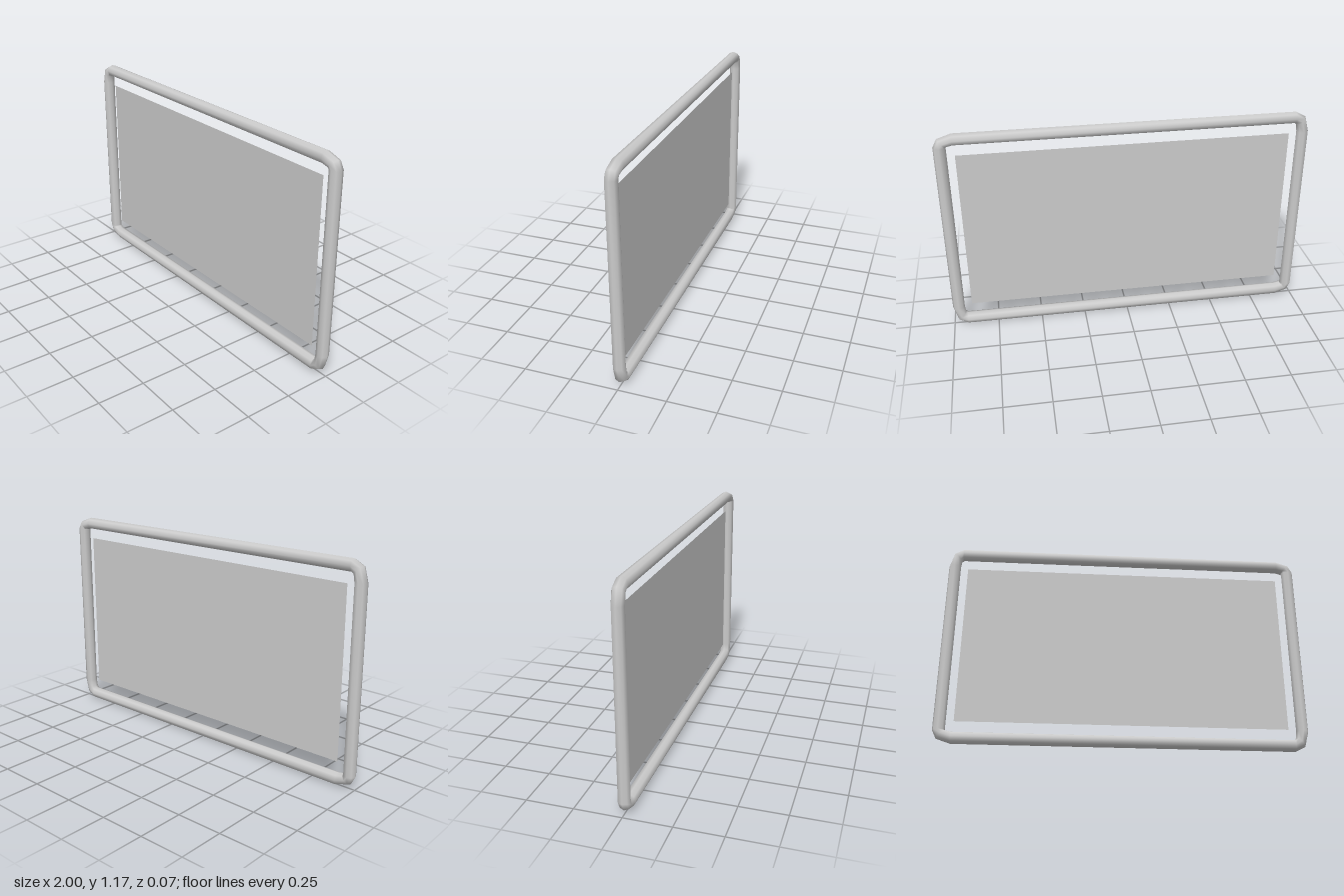
import * as THREE from 'three';
import { mergeVertices } from 'three/addons/utils/BufferGeometryUtils.js';

const MID_Y = 0.584, R = 0.033, SIDES = 8;

// Two neighbouring corners of the frame: x, y (from the centre), outward angle in degrees
const HALF_PATH = [
  [-0.967, 0.47, 180], [-0.953, 0.531, 135], [-0.92, 0.551, 90],
  [0.9, 0.551, 90], [0.953, 0.535, 45], [0.967, 0.512, 0],
];

// Closed octagonal tube; the other two corners are the first two turned by 180 degrees
function frameGeometry() {
  const path = [...HALF_PATH, ...HALF_PATH.map(([x, y, a]) => [-x, -y, a + 180])];
  const positions = [], index = [];
  for (const [x, y, deg] of path) {
    const t = THREE.MathUtils.degToRad(deg);
    for (let j = 0; j < SIDES; j++) {
      const a = (j / SIDES) * Math.PI * 2;
      positions.push(
        x + R * Math.cos(a) * Math.cos(t),
        y + R * Math.cos(a) * Math.sin(t),
        R * Math.sin(a));
    }
  }
  const n = path.length;
  for (let i = 0; i < n; i++) {
    for (let j = 0; j < SIDES; j++) {
      const i2 = (i + 1) % n, j2 = (j + 1) % SIDES;
      const a = i * SIDES + j, b = i * SIDES + j2, c = i2 * SIDES + j2, d = i2 * SIDES + j;
      index.push(a, b, d, b, c, d);
    }
  }
  const geometry = new THREE.BufferGeometry();
  geometry.setAttribute('position', new THREE.Float32BufferAttribute(positions, 3));
  geometry.setIndex(index);
  const merged = mergeVertices(geometry);
  merged.computeVertexNormals();
  return merged;
}

export function createModel() {
  const group = new THREE.Group();
  group.name = 'framedPanel';

  // Rounded tubular border
  const frame = new THREE.Mesh(frameGeometry(), new THREE.MeshStandardMaterial({ color: 0xcccccc }));
  frame.name = 'frame';
  frame.position.y = MID_Y;

  // Thin flat sheet floating inside the border
  const panel = new THREE.Mesh(
    new THREE.PlaneGeometry(1.786, 0.92),
    new THREE.MeshStandardMaterial({ color: 0xcccccc, side: THREE.DoubleSide }));
  panel.name = 'panel';
  panel.position.y = MID_Y;

  group.add(frame, panel);
  return group;
}
